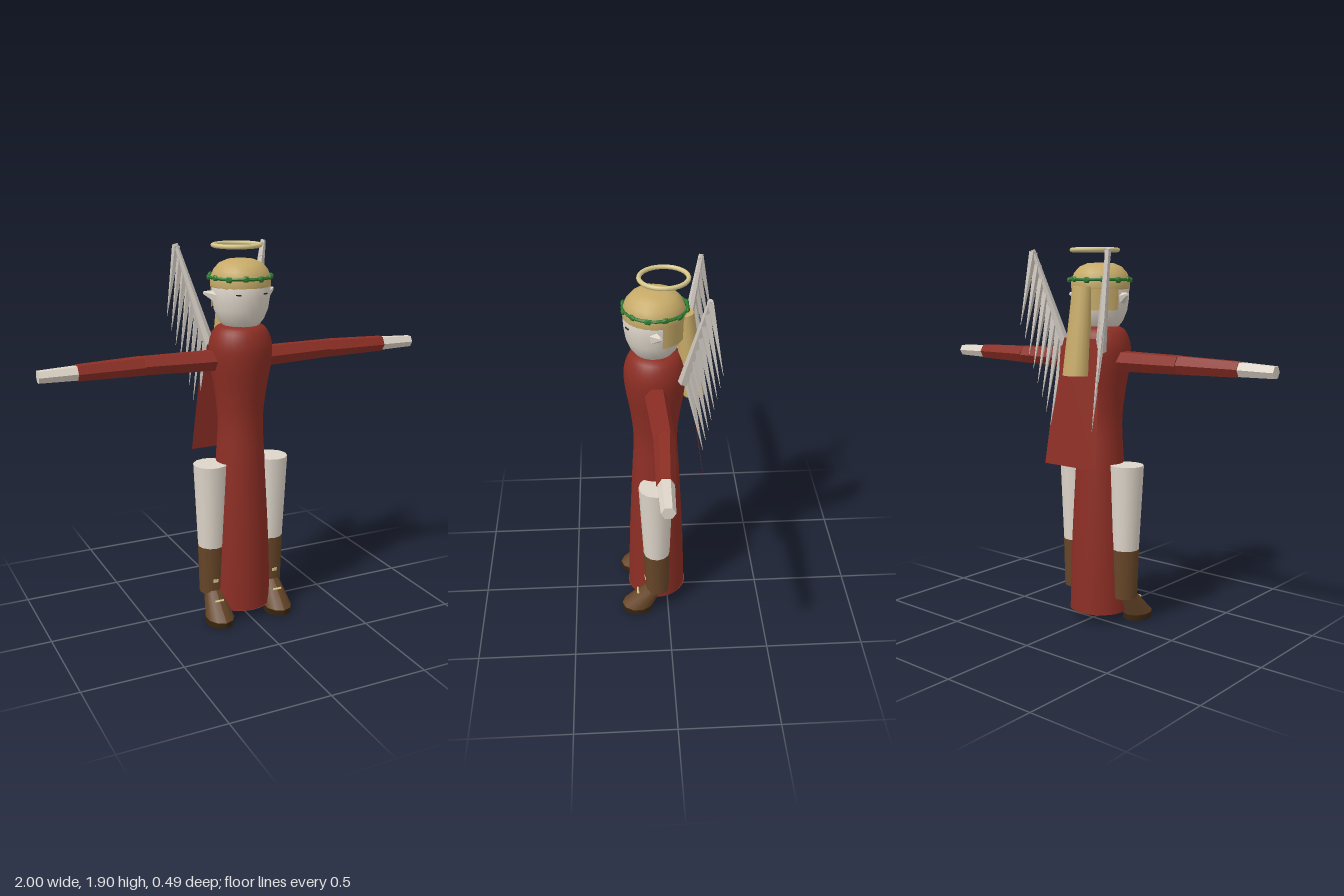
import * as THREE from 'three';

const mat = (name, color, flatShading = false) => {
  const m = new THREE.MeshStandardMaterial({ color, flatShading, side: THREE.DoubleSide });
  m.name = name;
  return m;
};
const V = (x, y, z) => new THREE.Vector3(x, y, z);

export function createModel() {
  const root = new THREE.Group();
  root.name = 'angelFigure';
  const red = mat('robeRed', 0x8c2e24);
  const skin = mat('paleSkin', 0xded5c9);
  const hair = mat('blondHair', 0xc6aa68);
  const green = mat('leafGreen', 0x2f7a30, true);
  const brown = mat('bootBrown', 0x664528);
  const sole = mat('soleBrown', 0x38260f);
  const gold = mat('paleGold', 0xd8c88c);
  const feather = mat('featherGrey', 0xcdc6be, true);
  const dark = mat('eyeDark', 0x2a2220);

  const add = (name, geo, material, pos = V(0, 0, 0), parent = root) => {
    const m = new THREE.Mesh(geo, material);
    m.name = name;
    m.position.copy(pos);
    parent.add(m);
    return m;
  };
  // Tapered limb between two points
  const limb = (name, a, b, ra, rb, sides, material, parent = root) => {
    const d = b.clone().sub(a);
    let g = new THREE.CylinderGeometry(rb, ra, d.length(), sides);
    if (sides < 8) { g = g.toNonIndexed(); g.computeVertexNormals(); }
    const m = add(name, g, material, a.clone().add(b).multiplyScalar(0.5), parent);
    m.quaternion.setFromUnitVectors(V(0, 1, 0), d.normalize());
    return m;
  };
  // Upright tapered prism whose centre slides along z from bottom to top
  const slanted = (y0, y1, r0, r1, z0, z1, sx, sides) => {
    const g = new THREE.CylinderGeometry(r1, r0, y1 - y0, sides, 1);
    g.translate(0, (y1 - y0) / 2, 0);
    const p = g.attributes.position;
    for (let i = 0; i < p.count; i++) {
      const t = p.getY(i) / (y1 - y0);
      p.setXYZ(i, p.getX(i) * sx, p.getY(i) + y0, p.getZ(i) + z0 + (z1 - z0) * t);
    }
    g.computeVertexNormals();
    return g;
  };
  const lathe = (pts, sides) => new THREE.LatheGeometry(pts.map(p => new THREE.Vector2(...p)), sides);

  // Robe
  const robeCurve = new THREE.SplineCurve([
    [0.157, 0.05], [0.147, 0.4], [0.126, 0.8], [0.114, 1.02], [0.127, 1.17],
    [0.152, 1.32], [0.155, 1.42], [0.125, 1.495], [0.07, 1.52],
  ].map(p => new THREE.Vector2(...p)));
  const robePts = robeCurve.getPoints(32).map(p => [p.x, p.y]);
  const robe = add('robe', lathe(robePts, 28), red, V(0, 0, 0.055));
  robe.scale.z = 0.96;
  const hem = add('robeUnderside', new THREE.CircleGeometry(0.156, 28), red, V(0, 0.052, 0.055));
  hem.rotation.x = Math.PI / 2;

  // Cape panel
  const cape = new THREE.PlaneGeometry(1, 0.62, 1, 1);
  const cp = cape.attributes.position;
  for (let i = 0; i < 4; i++) {
    const top = cp.getY(i) > 0;
    cp.setXYZ(i, Math.sign(cp.getX(i)) * (top ? 0.125 : 0.165), top ? 1.46 : 0.83, top ? -0.1 : -0.18);
  }
  cape.computeVertexNormals();
  add('cape', cape, red);

  // Head, hair and eyes
  add('head', lathe([[0, 1.48], [0.08, 1.5], [0.112, 1.54], [0.132, 1.59], [0.141, 1.65],
    [0.142, 1.7], [0.13, 1.74]], 24), skin, V(0, 0, 0.06));
  add('hairCap', lathe([[0.142, 1.695], [0.147, 1.7], [0.146, 1.74], [0.132, 1.775],
    [0.105, 1.805], [0.065, 1.822], [0, 1.825]], 20), hair, V(0, 0, 0.057));
  add('sideHair', new THREE.CylinderGeometry(0.147, 0.142, 0.12, 16, 1, true,
    Math.PI * 0.58, Math.PI * 0.84), hair, V(0, 1.655, 0.06));
  add('backHair', slanted(1.28, 1.71, 0.06, 0.042, -0.13, -0.085, 1.2, 14), hair);

  // Laurel wreath
  const wreath = new THREE.Group();
  wreath.name = 'wreath';
  wreath.position.set(0, 1.742, 0.052);
  root.add(wreath);
  const band = add('wreathBand', new THREE.TorusGeometry(0.15, 0.008, 5, 24), green, undefined, wreath);
  band.rotation.x = Math.PI / 2;
  for (let i = 0; i < 12; i++) {
    const a = (i + 0.5) / 12 * Math.PI * 2;
    const leaf = add('wreathLeaf', new THREE.IcosahedronGeometry(0.016, 0), green,
      V(Math.sin(a) * 0.153, (i % 2) * 0.004 - 0.002, Math.cos(a) * 0.153), wreath);
    leaf.rotation.y = a;
    leaf.scale.set(1.25, 1, 0.7);
  }

  // Halo
  const halo = add('halo', new THREE.TorusGeometry(0.113, 0.011, 8, 28), gold, V(0, 1.885, 0.012));
  halo.rotation.x = Math.PI / 2;

  for (const s of [-1, 1]) {
    const side = new THREE.Group();
    side.name = s > 0 ? 'leftSide' : 'rightSide';
    root.add(side);

    // Face details
    add('eye', new THREE.BoxGeometry(0.026, 0.006, 0.006), dark, V(s * 0.07, 1.67, 0.183), side).rotation.y = s * 0.5;
    limb('ear', V(s * 0.125, 1.65, 0.06), V(s * 0.185, 1.672, 0.035), 0.033, 0.008, 5, skin, side);

    // Arm
    const shoulder = V(s * 0.13, 1.345, 0.055), elbow = V(s * 0.5, 1.348, 0.037);
    const wrist = V(s * 0.82, 1.347, 0.048), tip = V(s, 1.345, 0.048);
    limb('upperSleeve', shoulder, elbow, 0.055, 0.049, 6, red, side);
    limb('lowerSleeve', elbow, wrist, 0.049, 0.041, 6, red, side);
    limb('hand', wrist, tip, 0.037, 0.031, 6, skin, side);

    // Leg and boot
    limb('leg', V(s * 0.165, 0.385, 0.06), V(s * 0.168, 0.825, 0.063), 0.068, 0.086, 12, skin, side);
    limb('bootShaft', V(s * 0.165, 0.135, 0.058), V(s * 0.165, 0.39, 0.06), 0.062, 0.069, 12, brown, side);
    add('bootFoot', slanted(0.028, 0.155, 0.085, 0.052, 0.165, 0.07, 0.84, 10), brown, V(s * 0.165, 0, 0), side);
    add('bootSole', slanted(0, 0.03, 0.084, 0.086, 0.164, 0.165, 0.84, 10), sole, V(s * 0.165, 0, 0), side);
    add('bootBuckle', new THREE.BoxGeometry(0.026, 0.016, 0.008), gold, V(s * 0.168, 0.21, 0.121), side);
    const strap = add('bootStrap', new THREE.BoxGeometry(0.045, 0.009, 0.009), gold, V(s * 0.165, 0.115, 0.162), side);
    strap.rotation.x = -0.8;

    // Wing: leading bone with a fan of hanging feathers
    const wing = new THREE.Group();
    wing.name = 'wing';
    side.add(wing);
    const base = V(s * 0.11, 1.4, -0.075), peak = V(s * 0.238, 1.885, -0.178);
    limb('wingBone', base, peak, 0.028, 0.012, 6, feather, wing);
    for (let i = 0; i < 8; i++) {
      const t = i / 7;
      const from = base.clone().lerp(peak, 0.1 + 0.88 * t);
      const to = V(s * 0.135, 1.02, -0.172).lerp(V(s * 0.265, 1.52, -0.242), t);
      const f = limb('feather', from, to, 0.021, 0.001, 4, feather, wing);
      f.scale.x = 0.75;
    }
  }
  return root;
}
